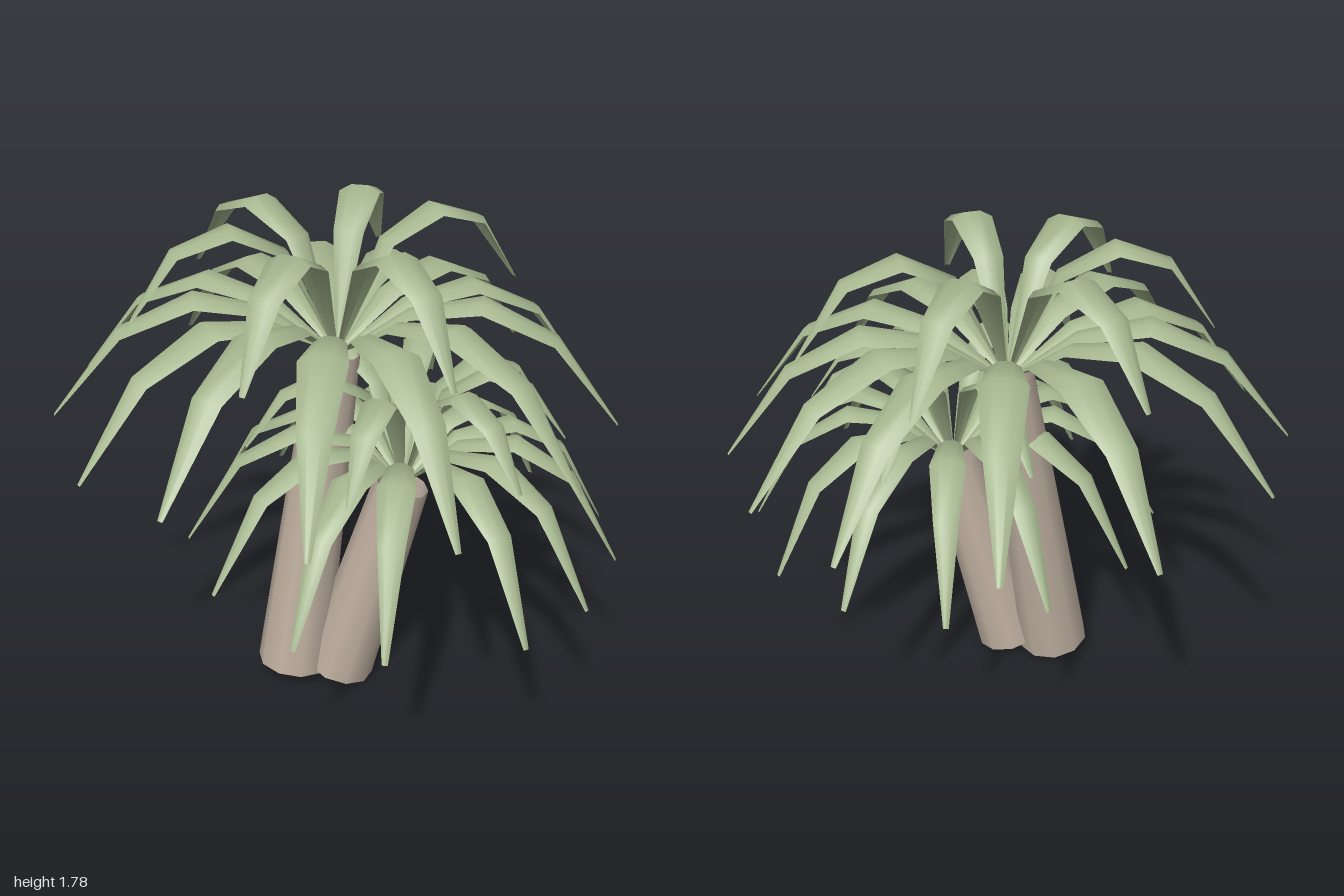
import * as THREE from 'three';

const bark = new THREE.MeshStandardMaterial({ color: 0xbcad9e, side: THREE.DoubleSide });
bark.name = 'bark';
const leaf = new THREE.MeshStandardMaterial({ color: 0xa4b68e, side: THREE.DoubleSide });
leaf.name = 'leaf green';

// Tapered, open-ended leaning trunk between two points
function trunk(name, from, to, rBase, rTop) {
  const a = new THREE.Vector3(...from), b = new THREE.Vector3(...to);
  const axis = b.clone().sub(a);
  const geo = new THREE.CylinderGeometry(rTop, rBase, axis.length(), 10, 2, true);
  const mesh = new THREE.Mesh(geo, bark);
  mesh.name = name;
  mesh.position.copy(a).add(b).multiplyScalar(0.5);
  mesh.quaternion.setFromUnitVectors(new THREE.Vector3(0, 1, 0), axis.normalize());
  return mesh;
}

// Cross-section of a frond in units of its width: [sideways, along its normal]
const SECTION = [[0.5, -0.11], [0.2, 0.07], [-0.2, 0.07], [-0.5, -0.11]];

// Arching, gently cupped frond along +x: profile rows are [reach, height, width]
function frondGeometry(profile) {
  const pos = [], index = [], n = SECTION.length;
  profile.forEach(([r, y, w], i) => {
    const p = profile[Math.max(i - 1, 0)], q = profile[Math.min(i + 1, profile.length - 1)];
    const dx = q[0] - p[0], dy = q[1] - p[1], len = Math.hypot(dx, dy);
    for (const [side, up] of SECTION) {
      pos.push(r - (dy / len) * up * w, y + (dx / len) * up * w, side * w);
    }
    if (!i) return;
    for (let j = 0; j < n - 1; j++) {
      const a = (i - 1) * n + j, b = a + n;
      index.push(a, b, a + 1, b, b + 1, a + 1);
    }
  });
  const geo = new THREE.BufferGeometry();
  geo.setAttribute('position', new THREE.Float32BufferAttribute(pos, 3));
  geo.setIndex(index);
  geo.computeVertexNormals();
  return geo;
}

// Ring of fronds: [angle in degrees counter-clockwise from above, upward pitch in radians]
function frondRing(name, origin, profile, fronds) {
  const ring = new THREE.Group();
  ring.name = name;
  ring.position.set(...origin);
  const geo = frondGeometry(profile);
  for (const [deg, pitch] of fronds) {
    const mesh = new THREE.Mesh(geo, leaf);
    mesh.name = 'frond';
    mesh.rotation.set(0, THREE.MathUtils.degToRad(deg), pitch, 'YZX');
    ring.add(mesh);
  }
  return ring;
}

export function createModel() {
  const model = new THREE.Group();
  model.name = 'twinPalm';

  // Trunks
  model.add(trunk('tallTrunk', [-0.19, 0.04, 0.1], [-0.01, 1.28, 0.01], 0.138, 0.09));
  model.add(trunk('shortTrunk', [-0.022, 0.03, 0.145], [0.195, 0.83, 0.2], 0.133, 0.1));

  // Tall crown
  const tall = [0, 1.27, 0];
  model.add(frondRing('tallLowerFronds', tall,
    [[0, 0, 0.01], [0.25, 0.17, 0.11], [0.5, 0.22, 0.165], [0.76, 0.1, 0.115], [1.0, -0.21, 0.02]],
    [[6, -0.02], [31.5, 0], [56, -0.01], [87, 0.03], [116, -0.01], [149, 0.02], [174, 0.02],
      [200, -0.03], [226, 0.03], [253, -0.03], [279.5, -0.04], [309, -0.01], [341, -0.01]]));
  model.add(frondRing('tallUpperFronds', tall,
    [[0, 0, 0.01], [0.18, 0.39, 0.11], [0.37, 0.485, 0.15], [0.56, 0.42, 0.11], [0.73, 0.17, 0.02]],
    [[14, 0], [65, 0.03], [125, 0], [183, 0], [235, -0.03], [287, -0.03]]));

  // Short crown
  const short = [0.2, 0.83, 0.2];
  model.add(frondRing('shortLowerFronds', short,
    [[0, 0, 0.01], [0.19, 0.18, 0.09], [0.39, 0.215, 0.13], [0.59, 0.1, 0.09], [0.77, -0.22, 0.02]],
    [[0, -0.01], [32, -0.04], [60, 0], [88, -0.01], [115.5, 0], [145, 0], [172, 0.03],
      [200, 0.02], [228, -0.04], [251.5, -0.01], [287, -0.02], [308, 0.02], [336, 0]]));
  model.add(frondRing('shortUpperFronds', short,
    [[0, 0, 0.01], [0.13, 0.36, 0.09], [0.28, 0.45, 0.12], [0.43, 0.39, 0.09], [0.56, 0.2, 0.02]],
    [[10, 0], [65, 0], [120, 0], [178, 0], [237, 0], [297, 0], [345, 0]]));

  return model;
}
